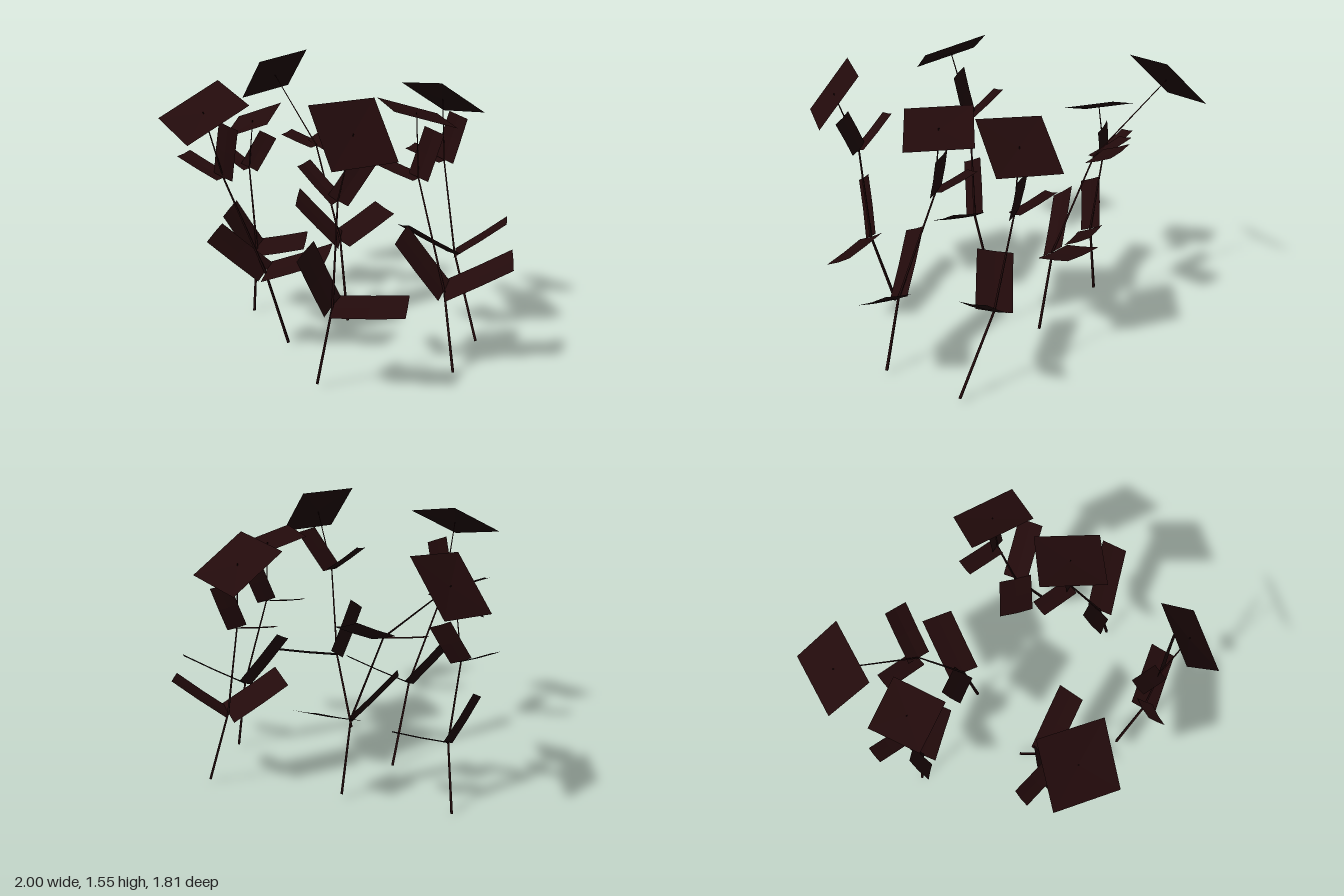
import * as THREE from 'three';

const foliage = new THREE.MeshStandardMaterial({ color: 0x220a0b, side: THREE.DoubleSide, flatShading: true });
const vec = (x, y, z) => new THREE.Vector3(x, y, z);

function surface(name, points, index) {
  const g = new THREE.BufferGeometry().setFromPoints(points);
  g.setIndex(index);
  g.computeVertexNormals();
  const mesh = new THREE.Mesh(g, foliage);
  mesh.name = name;
  return mesh;
}

// Two-piece leaf from a node along a vector, barely sagging and creased at the midrib
function leaf(name, node, along, width) {
  const normal = along.clone().cross(width).normalize();
  if (normal.y < 0) normal.negate();
  const points = [], index = [];
  for (let r = 0; r < 3; r++) {
    for (let c = -1; c <= 1; c++) {
      const sag = (r === 1 ? 0.003 : 0) + (c === 0 ? 0.005 : 0);
      points.push(node.clone().addScaledVector(along, r / 2)
        .addScaledVector(width, c / 2).addScaledVector(normal, -sag));
    }
  }
  for (let r = 0; r < 2; r++) {
    for (let c = 0; c < 2; c++) {
      const i = r * 3 + c;
      index.push(i, i + 1, i + 4, i, i + 4, i + 3);
    }
  }
  return surface(name, points, index);
}

// Square blossom on the plane y = a*x + b*z, a very shallow upturned pyramid
function blossom(top, a, b, heading, size) {
  const normal = vec(-a, 1, -b).normalize();
  const dx = Math.cos(heading), dz = Math.sin(heading);
  const d1 = vec(dx, a * dx + b * dz, dz).setLength(size);
  const d2 = normal.clone().cross(d1);
  const points = [top.clone().addScaledVector(normal, -0.01)];
  for (const s of [1, -1]) points.push(top.clone().addScaledVector(d1, s), top.clone().addScaledVector(d2, s));
  return surface('blossom', points, [0, 1, 2, 0, 2, 3, 0, 3, 4, 0, 4, 1]);
}

// Straight tapered piece between two points
function stemPiece(a, b, r0, r1) {
  const dir = b.clone().sub(a);
  const mesh = new THREE.Mesh(new THREE.CylinderGeometry(r1, r0, dir.length(), 4), foliage);
  mesh.position.copy(a).add(b).multiplyScalar(0.5);
  mesh.quaternion.setFromUnitVectors(vec(0, 1, 0), dir.normalize());
  mesh.name = 'stem';
  return mesh;
}

// stem: x, y of root, two leaf nodes and top; leaves: vectors from node to tip
function makePlant({
  stem, z, leanZ = 0, outer, upright, head, size = 0.247, outerSpan = 0.145, outerTilt = -0.07,
  inner = [-0.07, 0.25, 0.14], innerWidth = [0.05, -0.07, 0.125],
  uprightWidth = [0.09, -0.04, -0.057], side = [-0.23, 0.05, 0.055],
}) {
  const plant = new THREE.Group();
  plant.name = 'plant';
  const s = stem.map(([x, y]) => vec(x, y, z + leanZ * y));
  for (let i = 0; i < 3; i++) plant.add(stemPiece(s[i], s[i + 1], 0.0095 - i * 0.0022, 0.0073 - i * 0.0022));

  // The outer leaf is set square to its heading and tipped sideways
  const out = vec(...outer);
  const outWidth = vec(-out.z, 0, out.x).setLength(outerSpan).add(vec(0, outerTilt, 0));
  plant.add(
    leaf('lowerOuterLeaf', s[1], out, outWidth),
    leaf('lowerInnerLeaf', s[1], vec(...inner), vec(...innerWidth)),
    leaf('upperUprightLeaf', s[2], vec(...upright), vec(...uprightWidth)),
    leaf('upperSideLeaf', s[2], vec(...side), vec(0.02, -0.02, 0.09)),
    blossom(s[3], ...head, size),
  );
  return plant;
}

export function createModel() {
  const model = new THREE.Group();
  model.name = 'plantCluster';
  // Far right plant, leaning outward
  model.add(makePlant({
    stem: [[-0.115, 0.04], [-0.19, 0.515], [-0.43, 1.04], [-0.87, 1.41]], z: -0.26,
    outer: [0, 0.145, -0.33], outerSpan: 0.18, outerTilt: -0.04,
    inner: [-0.16, 0.255, 0.19], innerWidth: [0.07, -0.08, 0.08],
    upright: [0, 0.13, -0.26], uprightWidth: [0.13, -0.045, -0.03],
    head: [1.03, -0.17, -2.17],
  }));
  // Short plant on the right
  model.add(makePlant({
    stem: [[-0.65, 0.01], [-0.61, 0.42], [-0.68, 0.9], [-0.635, 1.19]], z: 0.05,
    outer: [0.21, 0.06, -0.21], upright: [0.07, 0.2, -0.09],
    side: [-0.185, 0.085, 0.05], head: [0.12, -0.47, -1.44], size: 0.207,
  }));
  // Front plant, leaning forward
  model.add(makePlant({
    stem: [[-0.055, 0.03], [-0.01, 0.49], [-0.08, 1.03], [-0.025, 1.395]], z: 0.19, leanZ: 0.384,
    outer: [0.29, 0.14, -0.21], inner: [-0.1, 0.24, 0.25], upright: [0.065, 0.28, 0],
    side: [-0.235, 0.1, 0.1], head: [-0.17, -0.6, -2.26], size: 0.26,
  }));
  // Back plant
  model.add(makePlant({
    stem: [[0.55, 0.03], [0.355, 0.5], [0.245, 1.02], [0.22, 1.37]], z: -0.66,
    outer: [0.205, 0.205, -0.195], outerTilt: -0.01,
    inner: [-0.135, 0.18, 0.27], innerWidth: [0.18, 0.04, 0.06],
    upright: [0.005, 0.245, -0.095], head: [0.085, 0.63, -2.37],
  }));
  // Plant behind the centre on the left
  model.add(makePlant({
    stem: [[0.8, 0.03], [0.715, 0.455], [0.49, 1.02], [0.465, 1.36]], z: -0.26,
    outer: [0.23, 0.18, -0.26], inner: [-0.165, 0.295, 0.16], upright: [0.005, 0.24, -0.1],
    head: [-0.166, 0.246, 2.79],
  }));
  // Left front plant
  model.add(makePlant({
    stem: [[0.5, 0.03], [0.63, 0.485], [0.67, 1.03], [0.79, 1.375]], z: 0.4,
    outer: [0.275, 0.025, -0.25], inner: [-0.025, 0.305, 0.145], innerWidth: [0.02, -0.08, 0.115],
    upright: [0.115, 0.24, -0.1], side: [-0.195, 0.16, 0.06], head: [-1.2, -0.22, -1.99],
  }));
  return model;
}
